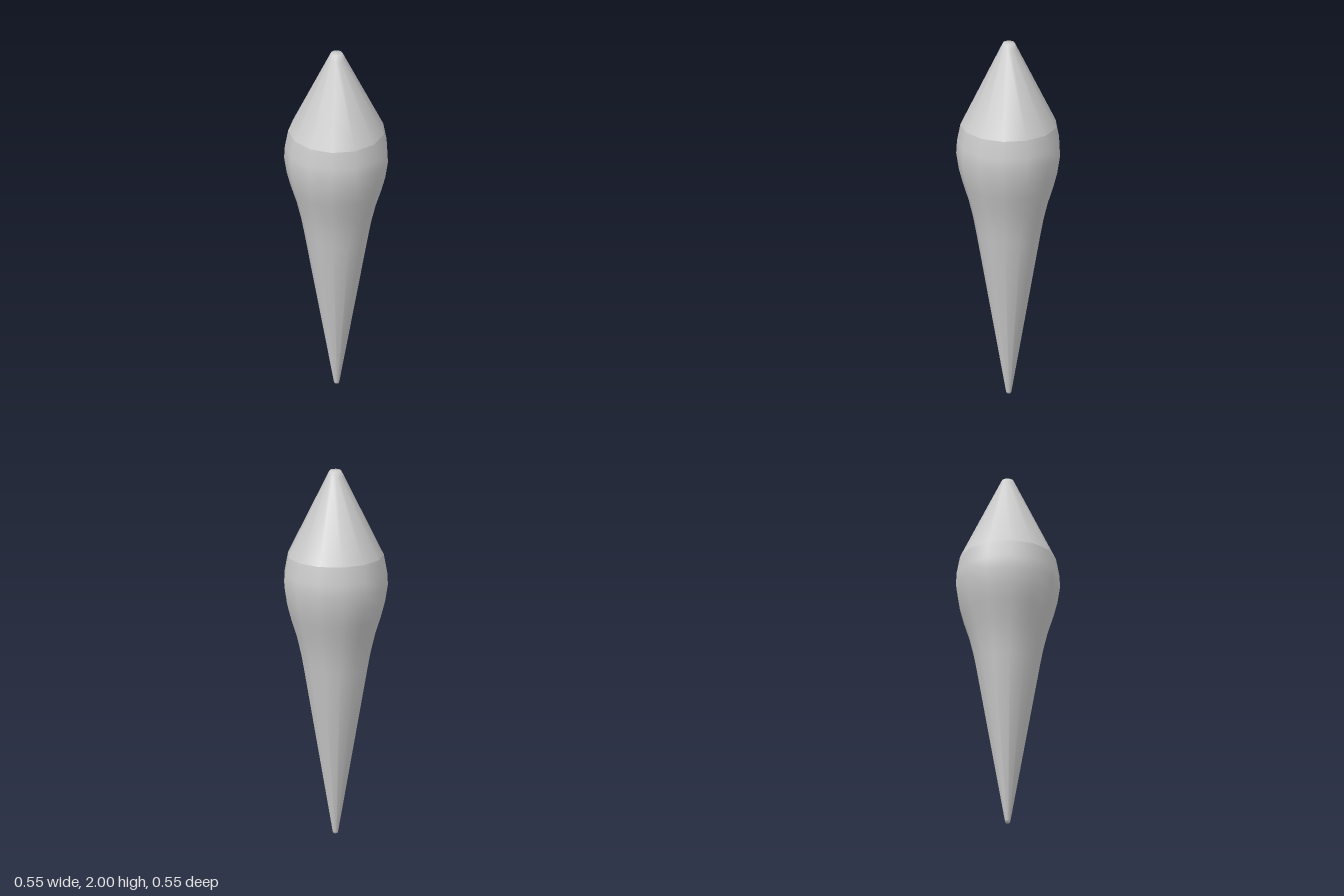
import * as THREE from 'three';

const SIDES = 13;

// Revolves [radius, height] pairs, with one corner of the polygon at the back
function turned(name, profile, material) {
  const points = profile.map(([r, y]) => new THREE.Vector2(r, y));
  const mesh = new THREE.Mesh(new THREE.LatheGeometry(points, SIDES, Math.PI), material);
  mesh.name = name;
  return mesh;
}

export function createModel() {
  const group = new THREE.Group();
  group.name = 'taperedSpindle';
  const material = new THREE.MeshStandardMaterial({ color: 0xcccccc });

  // Long straight taper flaring into the rounded bulge
  const body = turned('body', [
    [0, 0], [0.012, 0], [0.015, 0.01], [0.173, 0.92], [0.188, 1.0], [0.212, 1.1],
    [0.244, 1.2], [0.265, 1.28], [0.279, 1.37], [0.275, 1.44], [0.257, 1.535],
  ], material);

  // Straight cone with a small softened tip
  const tip = turned('tip', [
    [0.257, 1.535], [0.046, 1.97], [0.031, 2], [0, 2],
  ], material);

  group.add(body, tip);
  group.position.z = 0.004; // the odd-sided outline is centred by its bounds
  return group;
}
